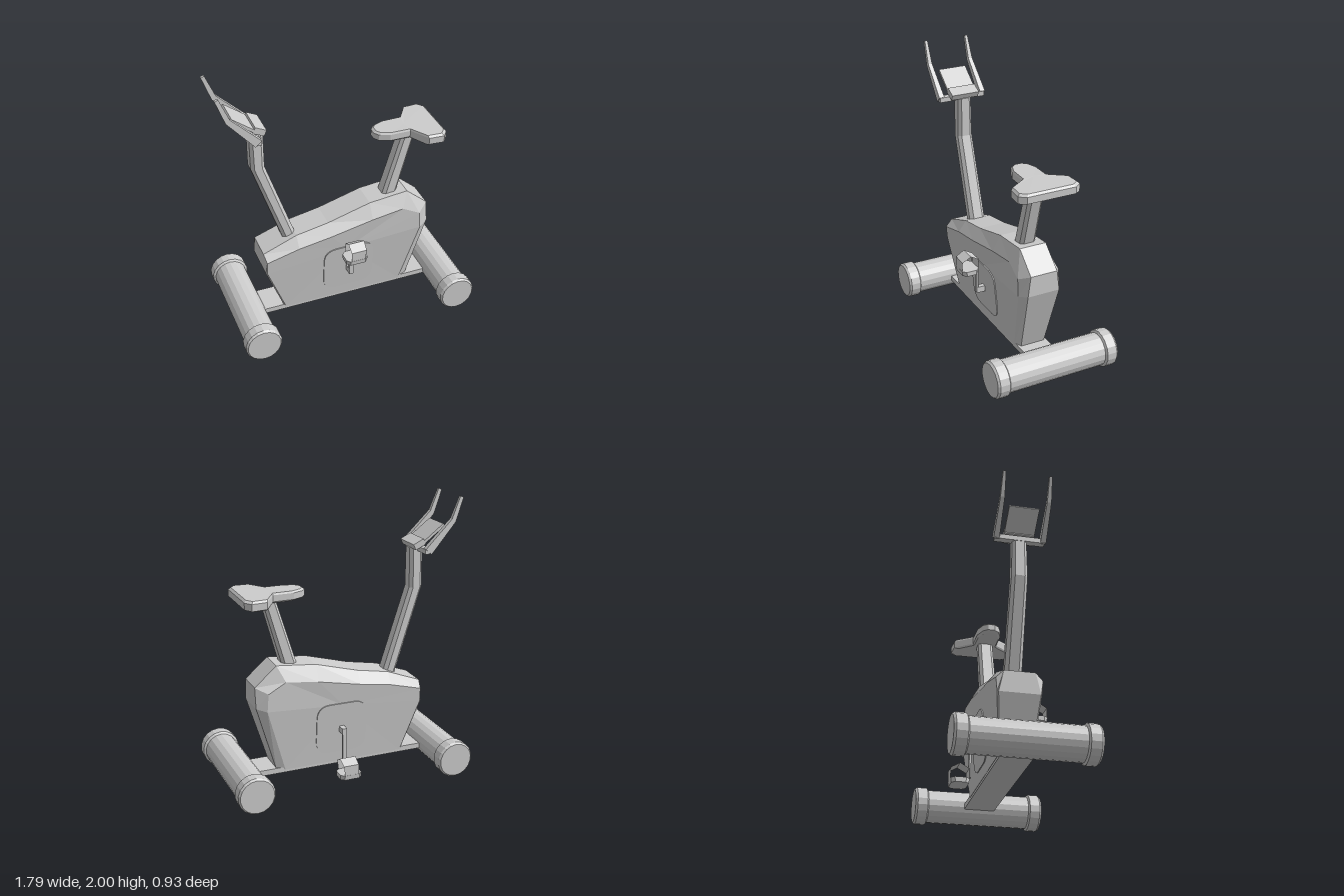
import * as THREE from 'three';

const grey = new THREE.MeshStandardMaterial({ color: 0xcccccc });
grey.name = 'lightGrey';
grey.flatShading = true;
grey.side = THREE.DoubleSide;

function add(parent, name, geometry, x = 0, y = 0, z = 0) {
  const mesh = new THREE.Mesh(geometry, grey);
  mesh.name = name;
  mesh.position.set(x, y, z);
  parent.add(mesh);
  return mesh;
}

// Solid skinned over closed rings of [x, y, z] points, capped at both ends
function loft(rings) {
  const n = rings[0].length;
  const tris = [];
  const tri = (...p) => tris.push(p.map((q) => new THREE.Vector3(...q)));
  for (let r = 0; r + 1 < rings.length; r++) {
    for (let i = 0; i < n; i++) {
      const j = (i + 1) % n;
      const [a, b, c, d] = [rings[r][i], rings[r][j], rings[r + 1][j], rings[r + 1][i]];
      tri(a, b, c);
      tri(a, c, d);
    }
  }
  const centre = (ring) => [0, 1, 2].map((k) => ring.reduce((s, p) => s + p[k], 0) / n);
  const first = rings[0], last = rings[rings.length - 1];
  for (let i = 0; i < n; i++) {
    const j = (i + 1) % n;
    tri(centre(first), first[j], first[i]);
    tri(centre(last), last[i], last[j]);
  }
  // Turn every face outward
  const cross = new THREE.Vector3();
  const volume = tris.reduce((s, [a, b, c]) => s + a.dot(cross.crossVectors(b, c)), 0);
  if (volume < 0) tris.forEach((t) => t.reverse());
  const g = new THREE.BufferGeometry().setFromPoints(tris.flat());
  g.computeVertexNormals();
  return g;
}

// Horizontal rectangle with cut corners
function octagon(x, y, hx, hz, cut) {
  const corners = [[hx, hz - cut], [hx - cut, hz], [cut - hx, hz], [-hx, hz - cut],
    [-hx, cut - hz], [cut - hx, -hz], [hx - cut, -hz], [hx, cut - hz]];
  return corners.map(([u, w]) => [x + u, y, w]);
}

// Casing: edge outline and side panel outline as [x, y, half width]
function makeBody(group) {
  const edge = [[-0.48, 0.12, 0.1], [-0.62, 0.5, 0.14], [-0.62, 0.65, 0.105], [-0.37, 0.745, 0.1],
    [-0.13, 0.79, 0.1], [0.19, 0.88, 0.1], [0.48, 0.91, 0.1], [0.64, 0.77, 0.1],
    [0.64, 0.62, 0.12], [0.49, 0.12, 0.09]];
  const panel = [[-0.47, 0.12, 0.112], [-0.61, 0.5, 0.148], [-0.61, 0.6, 0.156], [-0.37, 0.665, 0.16],
    [-0.13, 0.705, 0.162], [0.19, 0.77, 0.162], [0.43, 0.8, 0.155], [0.56, 0.73, 0.158],
    [0.57, 0.6, 0.158], [0.43, 0.12, 0.112]];
  const at = (ring, s) => ring.map(([x, y, z]) => [x, y, z * s]);
  add(group, 'body', loft([at(panel, -1), at(edge, -1), at(edge, 1), at(panel, 1)]));
  add(group, 'baseBar', new THREE.BoxGeometry(1.3, 0.04, 0.22), 0, 0.12, 0);
}

// Floor roller with wider bevelled end caps
function makeRoller(group, name, x) {
  const profile = [[0, -0.467], [0.122, -0.467], [0.134, -0.452], [0.134, -0.38], [0.118, -0.37],
    [0.118, 0.37], [0.134, 0.38], [0.134, 0.452], [0.122, 0.467], [0, 0.467]];
  const g = new THREE.LatheGeometry(profile.map((p) => new THREE.Vector2(...p)), 18);
  add(group, name, g.rotateX(Math.PI / 2), x, 0.135, 0);
}

// Saddle: half outline mirrored, with bevelled top and bottom
function makeSeat(group) {
  const half = [[0.24, 0.025], [0.265, 0.06], [0.34, 0.088], [0.49, 0.09],
    [0.575, 0.22], [0.685, 0.227], [0.722, 0.18]];
  const outline = [...half, ...half.slice().reverse().map(([x, z]) => [x, -z])];
  const ring = (y, s, droop) => outline.map(([x, z]) =>
    [0.5 + (x - 0.5) * s, y - droop * Math.abs(z), z * s]);
  add(group, 'seat', loft([ring(1.36, 0.88, 0.06), ring(1.372, 1, 0.06),
    ring(1.415, 1, 0.03), ring(1.428, 0.93, 0.02)]));
  add(group, 'seatPost', loft([octagon(0.355, 0.86, 0.055, 0.06, 0.022),
    octagon(0.505, 1.375, 0.048, 0.055, 0.02)]));
}

// Steering column, crossbar, grips and console
function makeHandlebar(group) {
  add(group, 'column', loft([octagon(-0.4, 0.7, 0.05, 0.06, 0.025),
    octagon(-0.608, 1.34, 0.049, 0.056, 0.022), octagon(-0.608, 1.63, 0.049, 0.05, 0.02)]));
  add(group, 'crossbar', new THREE.BoxGeometry(0.05, 0.035, 0.35), -0.635, 1.625, 0);
  const sections = [[[-0.655, 1.605], [-0.61, 1.645]], [[-0.84, 1.82], [-0.81, 1.842]],
    [[-0.9, 1.99], [-0.875, 2]]];
  for (const s of [1, -1]) {
    const rings = sections.map(([p, q], i) => {
      const inner = (0.143 + 0.004 * i) * s, outer = (0.183 - 0.006 * i) * s;
      return [[...p, inner], [...q, inner], [...q, outer], [...p, outer]];
    });
    add(group, s > 0 ? 'leftGrip' : 'rightGrip', loft(rings));
  }
  add(group, 'console', new THREE.BoxGeometry(0.22, 0.02, 0.21), -0.7, 1.725, 0).rotation.z = -0.65;
  add(group, 'consoleBase', new THREE.BoxGeometry(0.085, 0.045, 0.21), -0.6, 1.665, 0).rotation.z = -0.45;
}

// Crank arm, pedal platform and open foot cage on one side
function makePedal(group, s) {
  const pedal = new THREE.Group();
  pedal.name = s > 0 ? 'leftPedal' : 'rightPedal';
  group.add(pedal);
  const y = s > 0 ? 0.55 : 0.065;
  const tip = s > 0 ? 0.64 : 0.12;
  const end = s > 0 ? 0.36 : 0.4;
  add(pedal, 'axle', new THREE.BoxGeometry(0.035, 0.045, 0.1), 0.01, 0.38, s * 0.155);
  add(pedal, 'crank', new THREE.BoxGeometry(0.033, Math.abs(tip - end), 0.014),
    0.01, (tip + end) / 2, s * 0.198);
  add(pedal, 'platform', loft([octagon(0.008, 0, 0.08, 0.06, 0.025),
    octagon(0.008, 0.035, 0.08, 0.064, 0.025)]), 0, y, s * 0.273);
  // Thin folded strap
  const fold = [[-0.063, 0.03], [-0.063, 0.108], [0, 0.145], [0.063, 0.108], [0.063, 0.03]];
  const points = [];
  for (let i = 0; i + 1 < fold.length; i++) {
    const corner = (k, back) => {
      const [z, h] = fold[k];
      return new THREE.Vector3(back ? -0.042 : 0.062 + 0.13 * (h - 0.03), h, z);
    };
    const [a, b, c, d] = [corner(i, true), corner(i, false), corner(i + 1, false), corner(i + 1, true)];
    points.push(a, c, b, a, d, c);
  }
  const cage = new THREE.BufferGeometry().setFromPoints(points);
  cage.computeVertexNormals();
  add(pedal, 'footCage', cage, 0, y, s * 0.273);
}

// Slightly raised rounded cover around the crank, lying on the sloping side
function makeCover(group, s) {
  const r = 0.19, k = 0.1;
  const shape = new THREE.Shape();
  shape.moveTo(-r + k, -r);
  shape.lineTo(r - k, -r).quadraticCurveTo(r, -r, r, -r + k);
  shape.lineTo(r, r - k).quadraticCurveTo(r, r, r - k, r);
  shape.lineTo(-r + k, r).quadraticCurveTo(-r, r, -r, r - k);
  shape.lineTo(-r, -r + k).quadraticCurveTo(-r, -r, -r + k, -r);
  const g = new THREE.ExtrudeGeometry(shape, { depth: 0.008, bevelEnabled: false, curveSegments: 6 });
  g.rotateX(0.09);
  if (s < 0) g.rotateY(Math.PI);
  add(group, s > 0 ? 'leftCrankCover' : 'rightCrankCover', g, 0.01, 0.39, s * 0.134);
}

export function createModel() {
  const model = new THREE.Group();
  model.name = 'exerciseBike';
  makeBody(model);
  makeRoller(model, 'frontRoller', -0.75);
  makeRoller(model, 'rearRoller', 0.757);
  makeSeat(model);
  makeHandlebar(model);
  for (const s of [1, -1]) {
    makePedal(model, s);
    makeCover(model, s);
  }
  return model;
}
